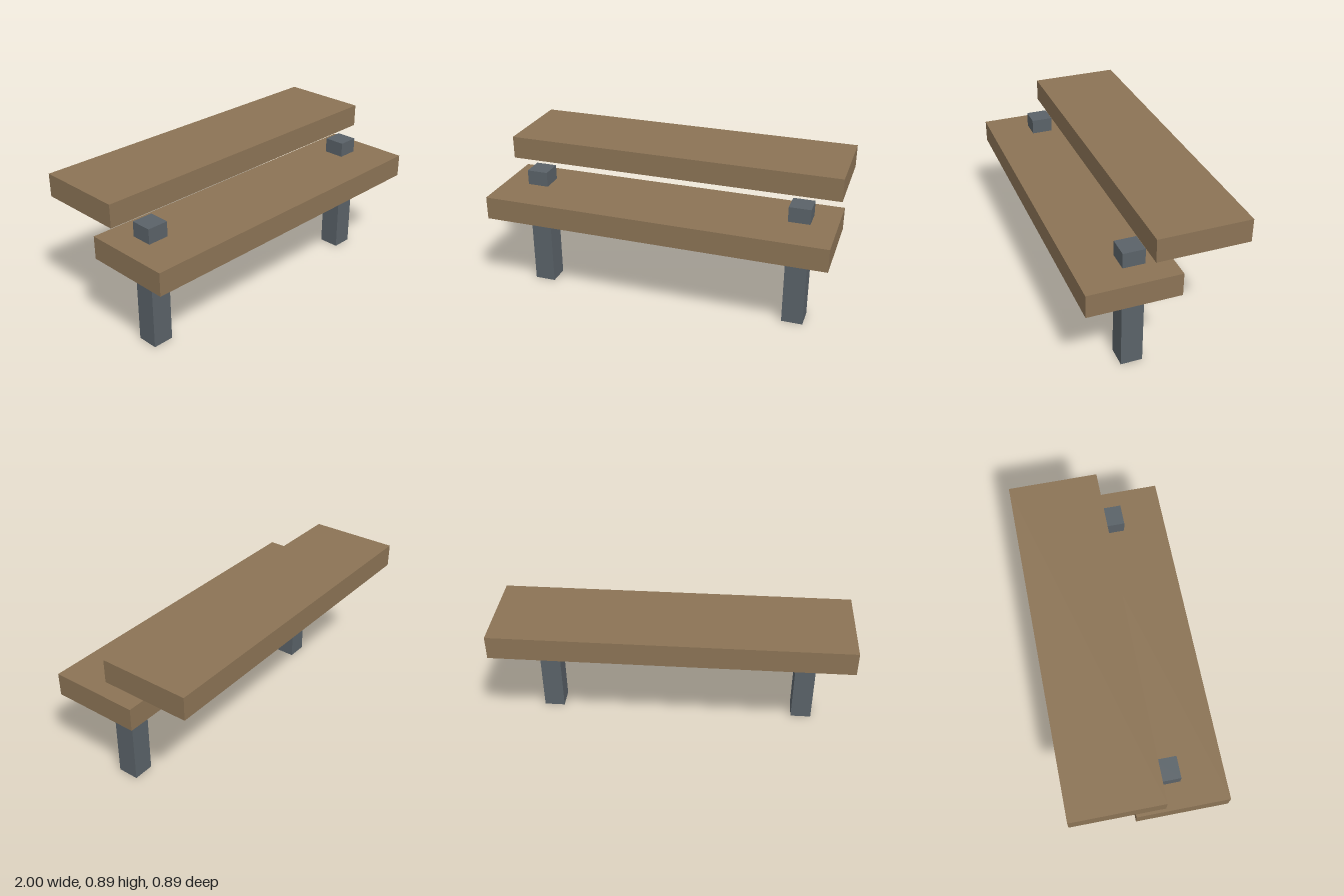
import * as THREE from 'three';

const wood = new THREE.MeshStandardMaterial({ color: 0x8b7355 });
const metal = new THREE.MeshStandardMaterial({ color: 0x5a6268 });

// Box standing on height y, centred on x and z
function block(name, material, [w, h, d], [x, y, z]) {
  const mesh = new THREE.Mesh(new THREE.BoxGeometry(w, h, d), material);
  mesh.name = name;
  mesh.position.set(x, y + h / 2, z);
  return mesh;
}

export function createModel() {
  const bench = new THREE.Group();
  bench.name = 'bench';

  // Seat plank in front, back plank floating higher and further back
  const plank = [2, 0.135, 0.526];
  bench.add(block('seat', wood, plank, [0, 0.513, 0.184]));
  bench.add(block('backrest', wood, plank, [0, 0.755, -0.184]));

  // Square posts passing through the seat
  for (const [name, side] of [['leftPost', 1], ['rightPost', -1]]) {
    bench.add(block(name, metal, [0.125, 0.737, 0.126], [side * 0.79, 0, 0.133]));
  }
  return bench;
}
